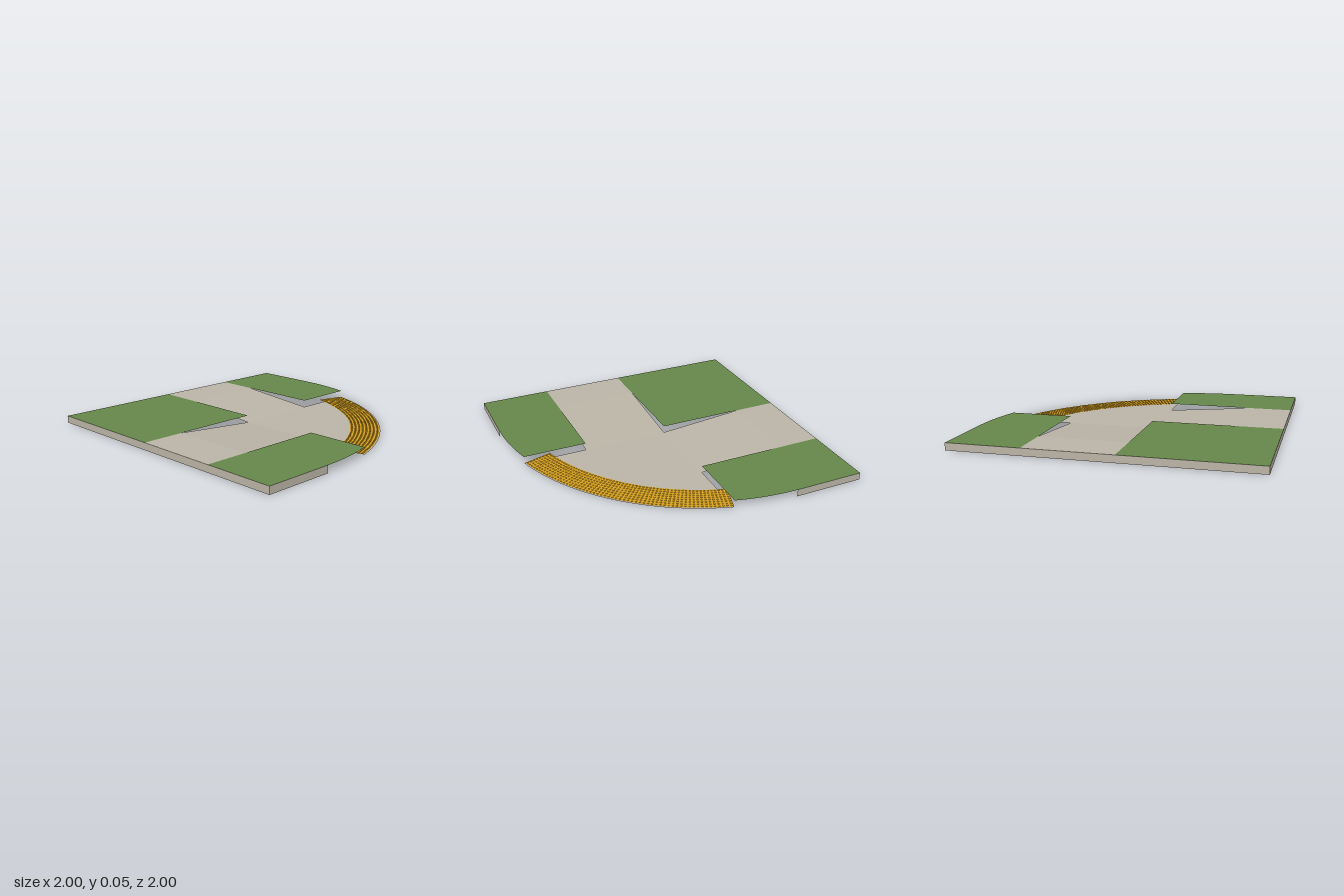
import * as THREE from 'three';
import { mergeGeometries } from 'three/addons/utils/BufferGeometryUtils.js';

const H = 0.05;                    // kerb height
const C = -0.52, R = 1.52;         // centre (x = z) and radius of the rounded corner
const END = Math.asin(0.42 / R);   // angle at which the corner pad meets the lawns

export function createModel() {
  const group = new THREE.Group();
  const make = (name, color) => {
    const m = new THREE.MeshStandardMaterial({ color, side: THREE.DoubleSide });
    m.name = name;
    return m;
  };
  const concrete = make('concrete', 0xbab3a6);
  const grass = make('grass', 0x66864a);
  const yellow = make('tactileYellow', 0xd6a01f);

  const add = (name, geometry, material) => {
    const mesh = new THREE.Mesh(geometry, material);
    mesh.name = name;
    group.add(mesh);
  };
  // points [x, z] on the rounded corner between two angles
  const arc = (a, b, r = R, n = 32) => Array.from({ length: n + 1 }, (_, i) => {
    const t = a + (b - a) * i / n;
    return [C + r * Math.cos(t), C + r * Math.sin(t)];
  });
  // flat sheet from an [x, z] outline at height y
  const sheet = (points, y) => {
    const shape = new THREE.Shape(points.map(([x, z]) => new THREE.Vector2(x, -z)));
    return new THREE.ShapeGeometry(shape).rotateX(-Math.PI / 2).translate(0, y, 0);
  };
  const rect = (x0, z0, x1, z1) => [[x0, z0], [x1, z0], [x1, z1], [x0, z1]];
  const swap = points => points.map(([x, z]) => [z, x]);

  // lawns
  const sideLawn = [[-1, 0.5], [-0.1, 0.5], ...arc(Math.PI / 2 - END, Math.PI / 2, R, 12), [-1, 1]];
  add('innerLawn', sheet(rect(-1, -1, -0.1, -0.1), H), grass);
  add('frontLawn', sheet(sideLawn, H), grass);
  add('leftLawn', sheet(swap(sideLawn), H), grass);

  // level walks, and ramps falling to the corner pad
  const walk = rect(-0.1, -1, 0.5, -0.7);
  add('backWalk', sheet(walk, H), concrete);
  add('sideWalk', sheet(swap(walk), H), concrete);
  const ramp = rect(-0.1, -0.7, 0.5, -0.1);
  const slope = (points, axis) => {
    const g = sheet(points, 0), p = g.attributes.position;
    for (let i = 0; i < p.count; i++) {
      p.setY(i, H * (-0.1 - (axis === 'x' ? p.getX(i) : p.getZ(i))) / 0.6);
    }
    g.computeVertexNormals();
    return g;
  };
  add('backRamp', slope(ramp, 'z'), concrete);
  add('sideRamp', slope(swap(ramp), 'x'), concrete);

  // low corner pad
  add('cornerPad', sheet([[-0.1, -0.1], ...arc(END, Math.PI / 2 - END)], 0), concrete);

  // tactile strip with rows of small domes
  const r0 = 1.314, r1 = 1.513;
  const strip = [...arc(END, Math.PI / 2 - END, r1), ...arc(Math.PI / 2 - END, END, r0)];
  add('tactileStrip', sheet(strip, 0.002), yellow);
  const domes = [], rows = 8, span = Math.PI / 2 - 2 * END;
  for (let i = 0; i < rows; i++) {
    const r = r0 + (i + 0.5) * (r1 - r0) / rows;
    const n = 58;
    for (let j = 0; j < n; j++) {
      const t = END + (j + 0.5) * span / n;
      domes.push(new THREE.CylinderGeometry(0.004, 0.0065, 0.003, 8)
        .translate(C + r * Math.cos(t), 0.0035, C + r * Math.sin(t)));
    }
  }
  add('tactileDomes', mergeGeometries(domes), yellow);

  // upright edge faces: [name, length, x, z, turn]
  const q = Math.PI / 2, short = 1 + C;
  for (const [name, length, x, z, turn] of [
    ['backEdge', 2, 0, -1, Math.PI],
    ['rightEdge', 2, -1, 0, -q],
    ['frontEdge', short, -1 + short / 2, 1, 0],
    ['leftEdge', short, 1, -1 + short / 2, q],
  ]) {
    add(name, new THREE.PlaneGeometry(length, H).rotateY(turn).translate(x, H / 2, z), concrete);
  }
  return group;
}
